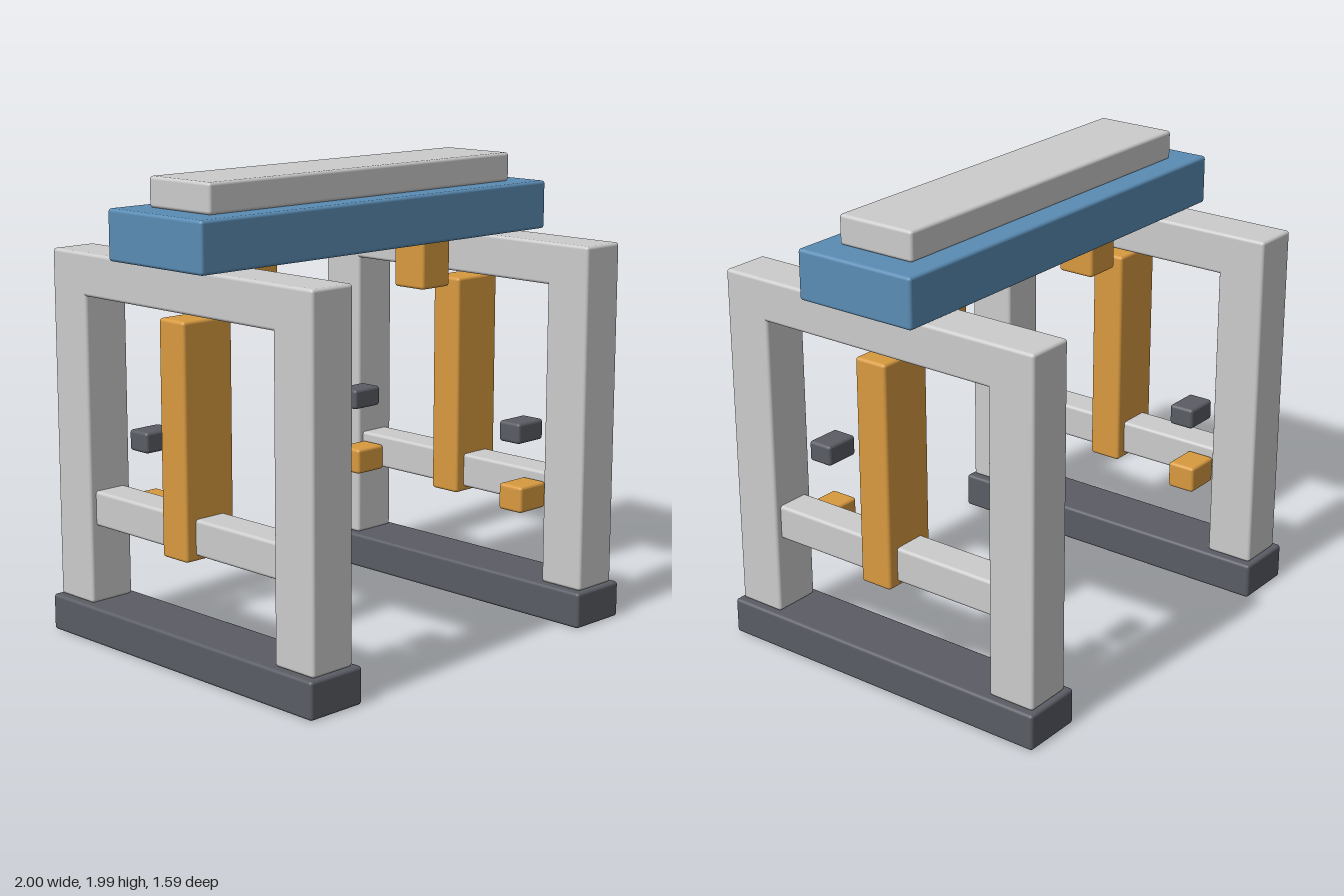
import * as THREE from 'three';
import { RoundedBoxGeometry } from 'three/addons/geometries/RoundedBoxGeometry.js';

const material = (color) => new THREE.MeshStandardMaterial({ color });

export function createModel() {
  const grey = material(0xcccccc);
  const blue = material(0x5a8cb4);
  const orange = material(0xd89a40);
  const dark = material(0x5a5c64);

  // Softly rounded bar given by its [min, max] range on each axis
  function bar(parent, name, mat, [x0, x1], [y0, y1], [z0, z1]) {
    const geometry = new RoundedBoxGeometry(x1 - x0, y1 - y0, z1 - z0, 3, 0.014);
    const mesh = new THREE.Mesh(geometry, mat);
    mesh.name = name;
    mesh.position.set((x0 + x1) / 2, (y0 + y1) / 2, (z0 + z1) / 2);
    parent.add(mesh);
  }

  // Range mirrored to the other side when s is -1
  const side = (s, a, b) => (s > 0 ? [a, b] : [-b, -a]);

  const model = new THREE.Group();
  model.name = 'gantryFrame';

  // Crossbeam and its top plate
  bar(model, 'crossbeam', blue, [-1, 1], [1.65, 1.86], [-0.28, 0.28]);
  bar(model, 'topPlate', grey, [-0.87, 0.87], [1.86, 1.985], [-0.18, 0.18]);

  for (const sx of [1, -1]) {
    const frame = new THREE.Group();
    frame.name = sx > 0 ? 'leftFrame' : 'rightFrame';
    model.add(frame);

    // Foot, head rail and lower rail
    bar(frame, 'foot', dark, side(sx, 0.655, 0.93), [0, 0.157], [-0.793, 0.793]);
    bar(frame, 'headRail', grey, side(sx, 0.687, 0.9), [1.465, 1.645], [-0.773, 0.773]);
    bar(frame, 'lowerRail', grey, side(sx, 0.715, 0.87), [0.49, 0.64], [-0.57, 0.57]);

    // Centre slab and the block hanging under the crossbeam
    bar(frame, 'centreSlab', orange, side(sx, 0.667, 0.92), [0.468, 1.44], [-0.075, 0.075]);
    bar(frame, 'hangingBlock', orange, side(sx, 0.425, 0.597), [1.415, 1.66], [-0.086, 0.086]);

    // Posts and inward pegs at the front and back
    for (const sz of [1, -1]) {
      bar(frame, 'post', grey, side(sx, 0.687, 0.9), [0.157, 1.645], side(sz, 0.56, 0.773));
      bar(frame, 'upperPeg', dark, side(sx, 0.537, 0.697), [0.79, 0.88], side(sz, 0.432, 0.546));
      bar(frame, 'lowerPeg', orange, side(sx, 0.55, 0.715), [0.485, 0.6], side(sz, 0.425, 0.552));
    }
  }
  return model;
}
